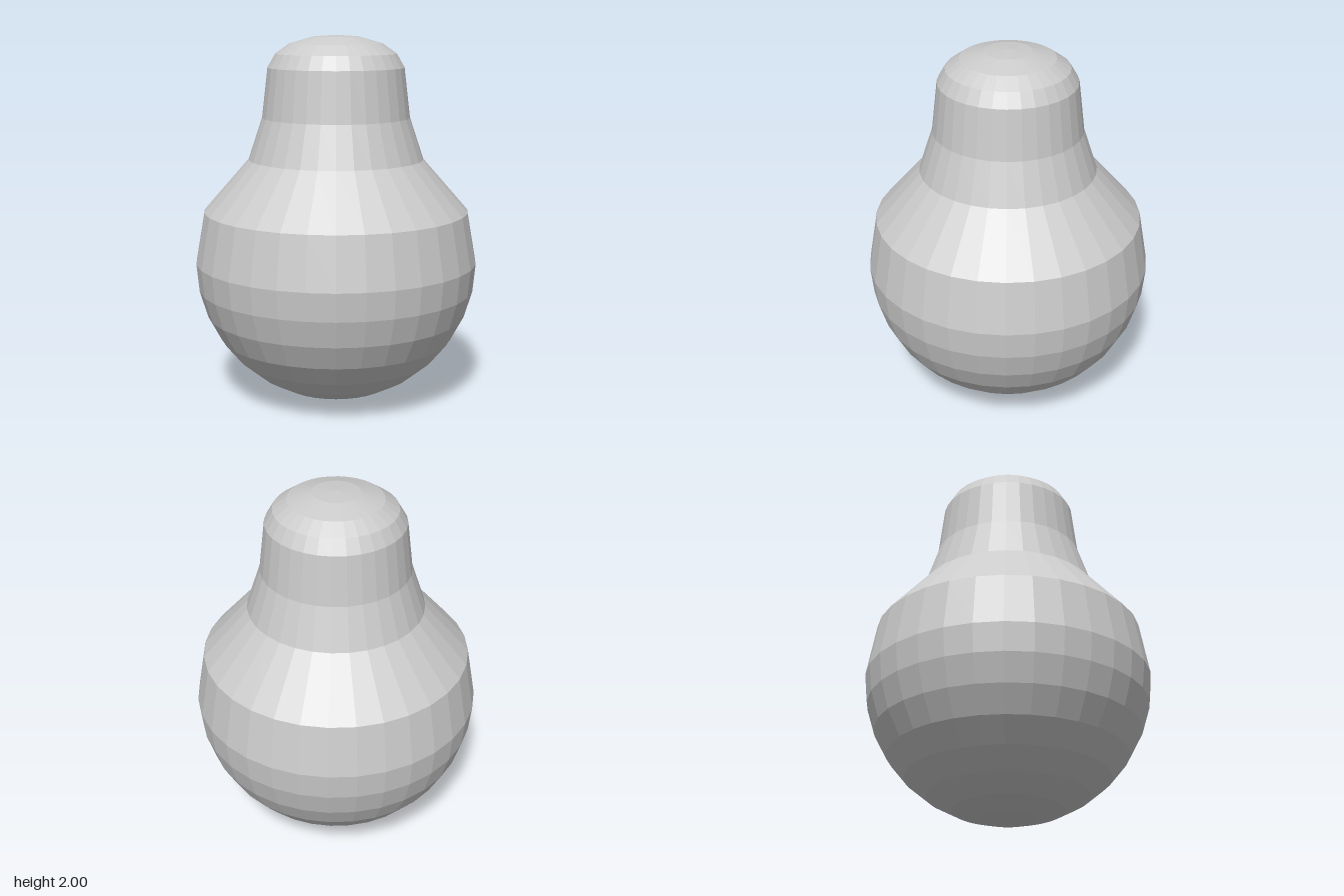
import * as THREE from 'three';

const SIDES = 32;
const RADIUS = 0.77;
const CENTRE_Y = 0.775;

export function createModel() {
  const model = new THREE.Group();
  model.name = 'gourdShape';
  const material = new THREE.MeshStandardMaterial({ color: 0xcccccc, flatShading: true });

  // Turns a bottom-to-top profile of [radius, height] pairs into a faceted part
  function addTurnedPart(name, profile) {
    const points = profile.map(([r, y]) => new THREE.Vector2(r, y));
    const mesh = new THREE.Mesh(new THREE.LatheGeometry(points, SIDES), material);
    mesh.name = name;
    model.add(mesh);
  }

  // Round belly: a half sphere in eight even steps, from the pole to its widest ring
  const belly = [];
  for (let i = 0; i <= 8; i++) {
    const a = (i / 8) * Math.PI / 2;
    belly.push([RADIUS * Math.sin(a), CENTRE_Y - RADIUS * Math.cos(a)]);
  }
  addTurnedPart('belly', belly);

  // Shoulder slopes in from the widest ring to the foot of the neck
  addTurnedPart('shoulder', [[RADIUS, CENTRE_Y], [0.72, 1.055], [0.475, 1.335]]);

  // Neck tapers gently upwards
  addTurnedPart('neck', [[0.475, 1.335], [0.4, 1.56], [0.368, 1.828]]);

  // Domed top
  addTurnedPart('domedTop', [[0.368, 1.828], [0.325, 1.902], [0.25, 1.955], [0.125, 1.991], [0, 2]]);

  return model;
}
